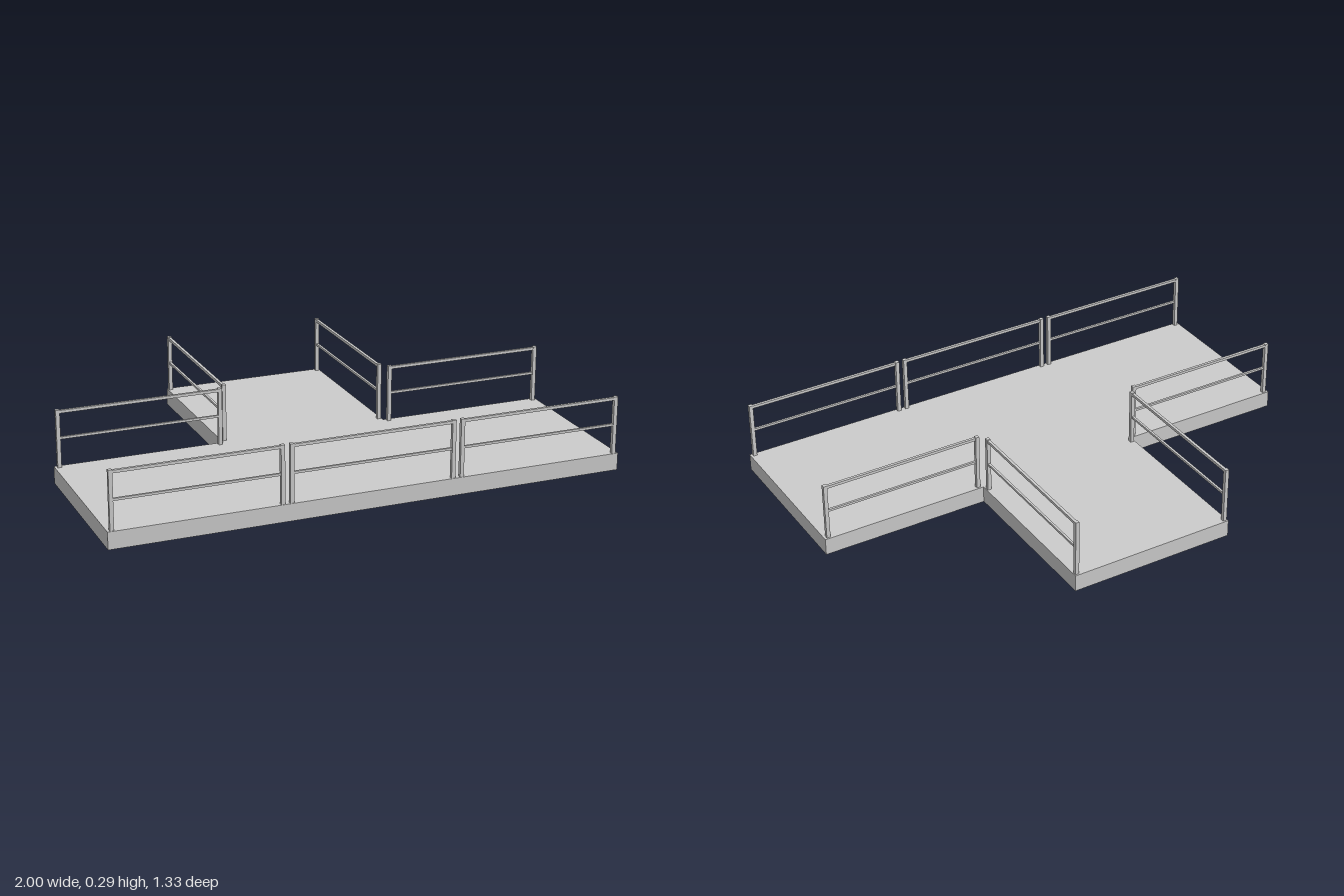
import * as THREE from 'three';

const TILE = 2 / 3, HEIGHT = 0.067;
const RAIL_TOP = 0.292, POST = 0.015, SPAN = 0.647;

const solid = new THREE.MeshStandardMaterial({ color: 0xcccccc, flatShading: true });
const sheet = new THREE.MeshStandardMaterial({ color: 0xcccccc, flatShading: true, side: THREE.DoubleSide });

function add(parent, name, geometry, material, x, y, z) {
  const mesh = new THREE.Mesh(geometry, material);
  mesh.name = name;
  mesh.position.set(x, y, z);
  parent.add(mesh);
  return mesh;
}

// One square platform: thin deck with skirt walls, hollow underneath
function platform(x, z, openBack, openLeft) {
  const group = new THREE.Group();
  group.name = 'platform';
  group.position.set(x, 0, z);
  add(group, 'deck', new THREE.PlaneGeometry(TILE, TILE), sheet, 0, HEIGHT, 0).rotation.x = -Math.PI / 2;
  for (let i = 0; i < 4; i++) {
    // neighbouring platforms share a single wall
    if ((i === 2 && openBack) || (i === 1 && openLeft)) continue;
    const a = i * Math.PI / 2;
    add(group, 'skirtWall', new THREE.PlaneGeometry(TILE, HEIGHT), sheet,
      Math.sin(a) * TILE / 2, HEIGHT / 2, Math.cos(a) * TILE / 2).rotation.y = a;
  }
  return group;
}

// Guard rail: two square posts joined by a top rail and a thinner middle rail
function railing(x, z, turn) {
  const group = new THREE.Group();
  group.name = 'railing';
  group.position.set(x, 0, z);
  group.rotation.y = turn;
  const postHeight = RAIL_TOP - HEIGHT;
  for (const s of [-1, 1]) {
    add(group, 'post', new THREE.BoxGeometry(POST, postHeight, POST), solid,
      s * (SPAN - POST) / 2, HEIGHT + postHeight / 2, 0);
  }
  const inner = SPAN - 2 * POST;
  add(group, 'topRail', new THREE.BoxGeometry(inner, 0.011, 0.011), solid, 0, 0.284, 0);
  add(group, 'middleRail', new THREE.BoxGeometry(inner, 0.009, 0.009), solid, 0, 0.181, 0);
  return group;
}

export function createModel() {
  const model = new THREE.Group();
  model.name = 'walkwayJunction';

  // Three platforms across the front, one behind the middle
  for (const i of [-1, 0, 1]) {
    model.add(platform(i * TILE, TILE / 2, i === 0, i < 1));
    model.add(railing(i * TILE, 0.657, 0));
  }
  model.add(platform(0, -TILE / 2, false, false));

  // Railings at the back of each arm and along both sides of the stem
  for (const s of [-1, 1]) {
    model.add(railing(s * TILE, 0.014, 0));
    model.add(railing(s * 0.322, -0.337, Math.PI / 2));
  }
  return model;
}
